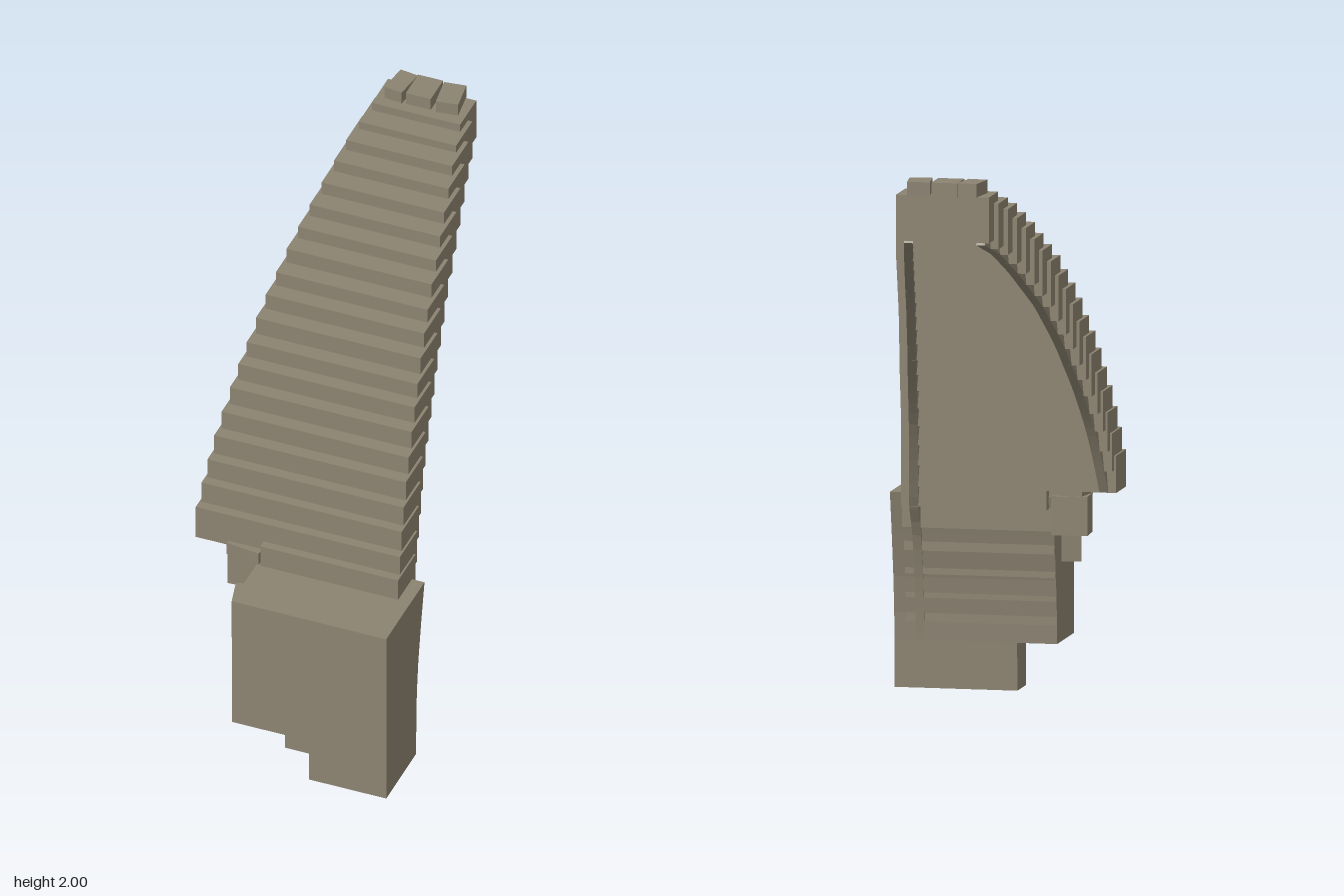
import * as THREE from 'three';

const stone = new THREE.MeshStandardMaterial({ color: 0x8c8371 });
stone.name = 'weatheredStone';

function add(parent, geometry, name) {
  const mesh = new THREE.Mesh(geometry, stone);
  mesh.name = name;
  parent.add(mesh);
  return mesh;
}

// box given by its limits on each axis
function slab(parent, name, x0, x1, y0, y1, z0, z1) {
  const mesh = add(parent, new THREE.BoxGeometry(x1 - x0, y1 - y0, z1 - z0), name);
  mesh.position.set((x0 + x1) / 2, (y0 + y1) / 2, (z0 + z1) / 2);
  return mesh;
}

// side profile of [z, y] points, extruded from x0 to x1
function prism(parent, name, profile, x0, x1) {
  const shape = new THREE.Shape(profile.map(([z, y]) => new THREE.Vector2(z, y)));
  const g = new THREE.ExtrudeGeometry(shape, { depth: x1 - x0, bevelEnabled: false });
  g.rotateY(-Math.PI / 2).translate(x1, 0, 0);
  return add(parent, g, name);
}

// solid bar from a loop of four-cornered cross-sections
function bar(parent, name, sections) {
  const pos = sections.flat(2), index = [];
  for (let i = 0; i < sections.length - 1; i++) {
    for (let k = 0; k < 4; k++) {
      const a = i * 4 + k, b = i * 4 + (k + 1) % 4;
      index.push(a, b, b + 4, a, b + 4, a + 4);
    }
  }
  const e = (sections.length - 1) * 4;
  index.push(0, 2, 1, 0, 3, 2, e, e + 1, e + 2, e, e + 2, e + 3);
  let g = new THREE.BufferGeometry();
  g.setAttribute('position', new THREE.Float32BufferAttribute(pos, 3));
  g.setIndex(index);
  g = g.toNonIndexed();
  g.computeVertexNormals();
  return add(parent, g, name);
}

export function createModel() {
  const model = new THREE.Group();
  model.name = 'brokenStoneArch';
  const CX = -0.03;
  const halfWidth = i => 0.397 - 0.0065 * i - 0.00029 * i * Math.abs(i);

  // front edge and top of each exposed course
  const front = [0.54, 0.508, 0.472, 0.435, 0.393, 0.345, 0.292, 0.239, 0.186, 0.127,
    0.064, 0, -0.069, -0.143, -0.218, -0.292, -0.371, -0.446, -0.525, -0.605];
  const top = [0.796, 0.875, 0.96, 1.04, 1.12, 1.194, 1.268, 1.337, 1.4, 1.47,
    1.533, 1.59, 1.65, 1.7, 1.75, 1.8, 1.846, 1.889, 1.92, 1.952];
  // rear edge of the courses embedded in the base, from the top down
  const lowBack = [0.418, 0.445, 0.462, 0.474, 0.482, 0.486];

  const courses = new THREE.Group();
  courses.name = 'courses';
  model.add(courses);
  const corners = [[0.49, 0], [0.489, 0.1]];

  // lower courses, broken off on one side
  for (let k = 5; k >= 0; k--) {
    const i = -1 - k, y1 = 0.796 + 0.0865 * i;
    const y0 = Math.max(0.172, y1 - 0.125);
    slab(courses, 'embeddedCourse', -0.173, 0.372, y0, y1, lowBack[k], lowBack[k] + 0.16);
    corners.push([lowBack[k], y0]);
  }
  // upper courses, narrowing as they lean back
  for (let i = 0; i < 20; i++) {
    const h = halfWidth(i), d = 0.165 - 0.0007 * i;
    const y0 = top[i] - Math.min(0.164, 0.13 + 0.0035 * i), z0 = front[i] - d;
    slab(courses, 'course', i === 0 ? -0.16 : CX - h, CX + h, y0, top[i], z0, front[i]);
    corners.push([z0, y0]);
  }

  // curved ribs under the courses
  const spine = new THREE.CatmullRomCurve3(corners.map(([z, y]) => new THREE.Vector3(0, y, z)));
  const rib = (side, t0, name) => {
    const sections = [];
    for (let s = 0; s <= 44; s++) {
      const t = t0 + (0.985 - t0) * s / 44;
      const p = spine.getPoint(t), v = spine.getTangent(t);
      const h = halfWidth(Math.max(0, t * 27 - 8));
      const x = CX + side * (h - 0.045), w = 0.016;
      // inward direction is across the tangent, toward the front and top
      const ny = -v.z * 0.06, nz = v.y * 0.06;
      sections.push([[x - w, p.y, p.z], [x + w, p.y, p.z],
        [x + w, p.y + ny, p.z + nz], [x - w, p.y + ny, p.z + nz]].reverse());
    }
    bar(model, name, sections);
  };
  rib(1, 0, 'leftRib');
  rib(-1, 9 / 27, 'rightRib');

  // base block with a notch in its lower corner
  prism(model, 'baseBlock', [[0.77, 0.172], [0.77, 0.71], [0.41, 0.71], [0.44, 0.56],
    [0.468, 0.4], [0.482, 0.27], [0.486, 0.172]], -0.175, 0.415);
  prism(model, 'baseFoot', [[0.77, 0], [0.77, 0.172], [0.486, 0.172], [0.49, 0]], 0.12, 0.415);
  prism(model, 'rearFoot', [[0.63, 0], [0.63, 0.172], [0.486, 0.172], [0.49, 0]], -0.03, 0.12);

  // loose chunks at the break
  const chunks = [
    [-0.235, 0.645, 0.455, 0.13, 0.14, 0.11, 0.05],
    [-0.2, 0.54, 0.6, 0.07, 0.16, 0.11, 0.25],
    [-0.225, 0.735, 0.47, 0.13, 0.05, 0.12, -0.12],
  ];
  for (const [x, y, z, w, h, d, r] of chunks) {
    const m = add(model, new THREE.BoxGeometry(w, h, d), 'brokenChunk');
    m.position.set(x, y, z);
    m.rotation.y = r;
  }

  // capstones on the summit
  for (const [x, w, r] of [[-0.127, 0.07, -0.13], [-0.038, 0.095, 0], [0.064, 0.082, 0.13]]) {
    const m = add(model, new THREE.BoxGeometry(w, 0.05, 0.116), 'capstone');
    m.position.set(x, 1.975, -0.704);
    m.rotation.y = r;
  }
  return model;
}
